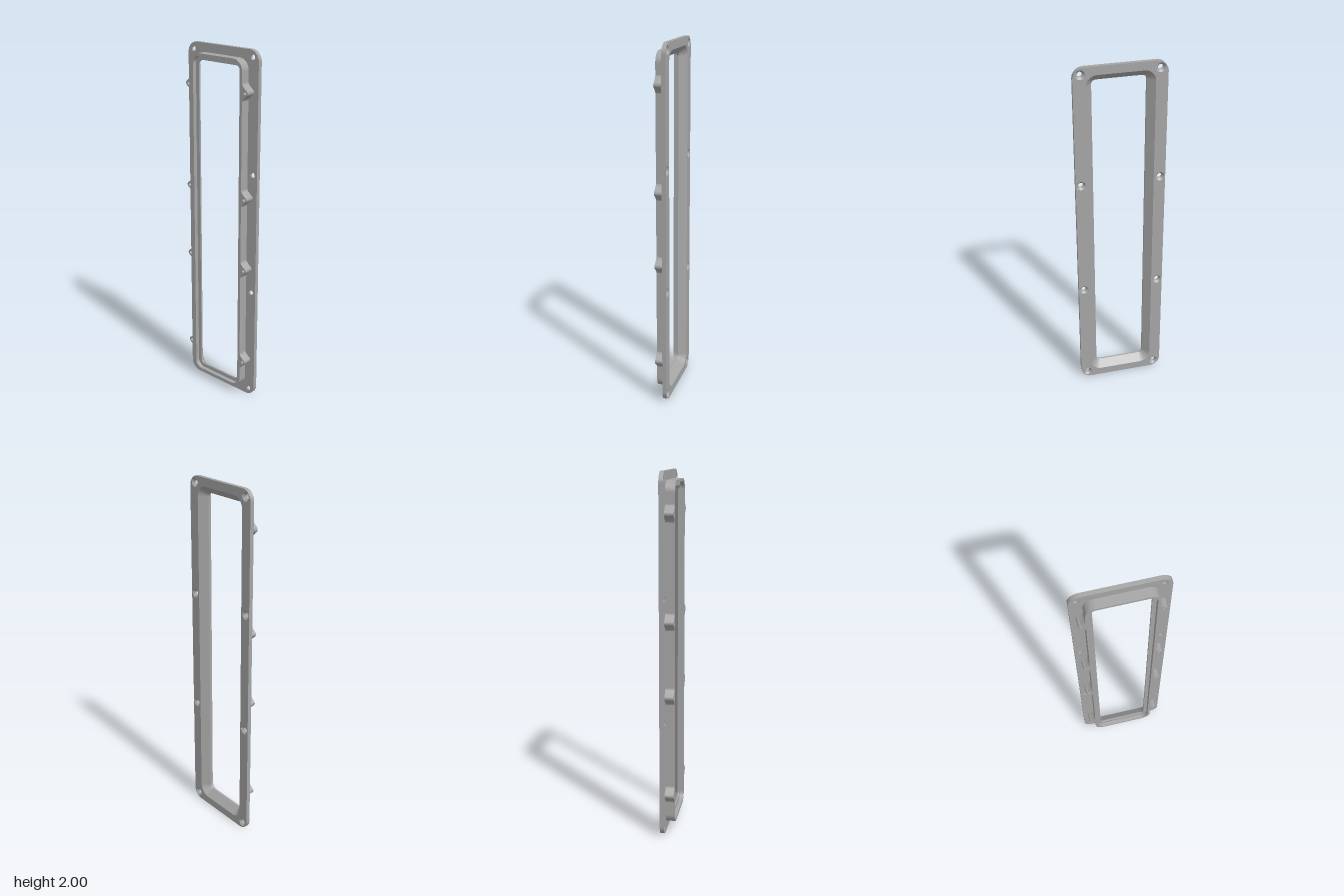
import * as THREE from 'three';

const FRONT = 0.037, PLATE_BACK = 0.014, REAR = -0.037;

// Counter-clockwise rounded rectangle outline given by half sizes and corner radius
function outline(hx, hy, r, steps = 12) {
  const pts = [];
  [[1, 1], [-1, 1], [-1, -1], [1, -1]].forEach(([sx, sy], q) => {
    for (let i = 0; i <= steps; i++) {
      const a = (q + i / steps) * Math.PI / 2;
      pts.push(new THREE.Vector2(sx * (hx - r) + r * Math.cos(a), sy * (hy - r) + r * Math.sin(a)));
    }
  });
  return pts;
}

// Wall between two matching outlines at depths za and zb
function band(a, za, b, zb) {
  const pos = [], index = [], n = a.length;
  a.forEach(p => pos.push(p.x, p.y, za));
  b.forEach(p => pos.push(p.x, p.y, zb));
  for (let j = 0; j < n; j++) {
    const k = (j + 1) % n;
    index.push(j, k, n + k, j, n + k, n + j);
  }
  const g = new THREE.BufferGeometry();
  g.setAttribute('position', new THREE.Float32BufferAttribute(pos, 3));
  g.setIndex(index);
  g.computeVertexNormals();
  return g;
}

export function createModel() {
  const grey = new THREE.MeshStandardMaterial({ color: 0xa6a6a6 });
  grey.name = 'grey';
  const model = new THREE.Group();
  model.name = 'bezelFrame';
  const body = new THREE.Group();
  body.name = 'frameBody';
  body.rotation.y = Math.PI / 2; // built facing +z, turned to face +x
  body.position.y = 1;
  model.add(body);

  const add = (name, geometry, x = 0, y = 0, z = 0) => {
    const m = new THREE.Mesh(geometry, grey);
    m.name = name;
    m.position.set(x, y, z);
    body.add(m);
    return m;
  };

  const plateEdge = outline(0.246, 1, 0.06);
  const collar = o => outline(0.18 + o, 0.952 + o, 0.06 + o);
  const holes = [];
  for (const s of [-1, 1]) {
    for (const y of [-0.962, 0.962]) holes.push([s * 0.207, y]);
    for (const y of [-0.342, 0.342]) holes.push([s * 0.216, y]);
  }

  // Flange faces, pierced by the opening and the screw holes
  const face = (opening, holeRadius) => {
    const s = new THREE.Shape(plateEdge);
    s.holes.push(new THREE.Path(opening));
    for (const [x, y] of holes) {
      s.holes.push(new THREE.Path().absarc(x, y, holeRadius, 0, Math.PI * 2, true));
    }
    return new THREE.ShapeGeometry(s, 24);
  };
  add('flangeFront', face(collar(0.002), 0.025), 0, 0, FRONT);
  add('flangeBack', face(collar(0), 0.014).rotateY(Math.PI), 0, 0, PLATE_BACK);
  add('flangeEdge', band(plateEdge, PLATE_BACK, plateEdge, FRONT));

  // Sloped opening, inner lip, rear recess and collar wall: [offset, depth]
  const profile = [
    [0.002, FRONT], [-0.037, -0.004], [-0.037, -0.014], [-0.015, -0.014],
    [-0.015, REAR], [0, REAR], [0, PLATE_BACK],
  ];
  const names = ['openingSlope', 'lipEdge', 'lipBack', 'recessWall', 'rearRim', 'collarWall'];
  names.forEach((name, i) => {
    const [a, za] = profile[i], [b, zb] = profile[i + 1];
    add(name, band(collar(a), za, collar(b), zb));
  });

  // Countersunk screw holes
  const ring = r => Array.from({ length: 24 }, (_, i) => {
    const a = i / 24 * Math.PI * 2;
    return new THREE.Vector2(r * Math.cos(a), r * Math.sin(a));
  });
  for (const [x, y] of holes) {
    add('countersink', band(ring(0.025), FRONT, ring(0.014), 0.026), x, y);
    add('screwHole', band(ring(0.014), 0.026, ring(0.014), PLATE_BACK), x, y);
  }

  // Flared screw bosses along both sides of the collar
  const boss = new THREE.Shape();
  boss.moveTo(0.179, -0.052);
  boss.bezierCurveTo(0.181, -0.035, 0.192, -0.03, 0.203, -0.018);
  boss.bezierCurveTo(0.222, -0.012, 0.222, 0.012, 0.203, 0.018);
  boss.bezierCurveTo(0.192, 0.03, 0.181, 0.035, 0.179, 0.052);
  boss.closePath();
  boss.holes.push(new THREE.Path().absarc(0.2, 0, 0.009, 0, Math.PI * 2, true));
  const bossGeometry = new THREE.ExtrudeGeometry(boss, {
    depth: PLATE_BACK - REAR, bevelEnabled: false, curveSegments: 10,
  });
  for (const y of [0.23, 0.8, 1.213, 1.785]) {
    for (const turn of [0, Math.PI]) {
      add('boss', bossGeometry, 0, y - 1, REAR).rotation.z = turn;
    }
  }
  return model;
}
